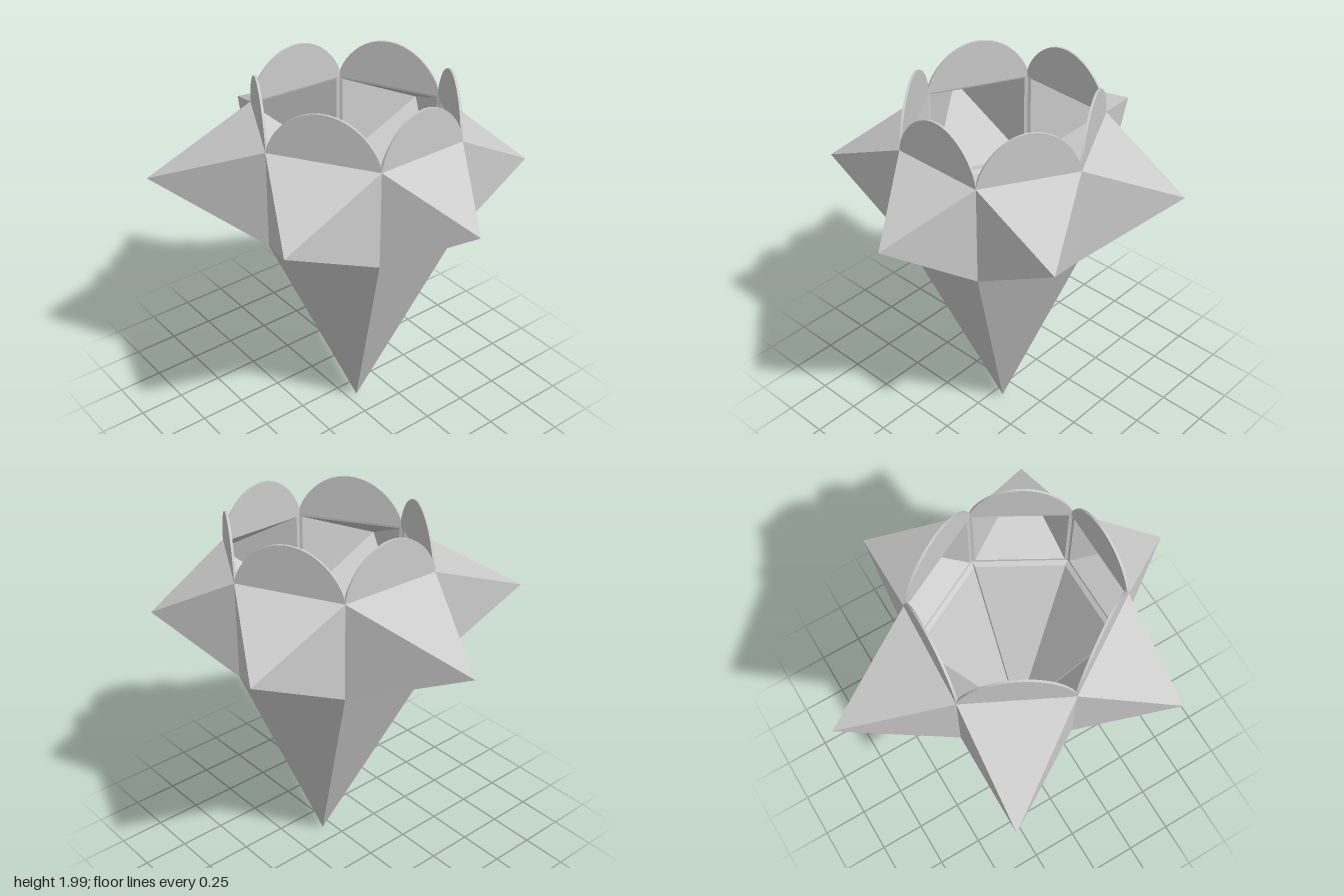
import * as THREE from 'three';

const BASE = 1.235, RIM = 1.755, TOP = 2.0, MID = 1.5;
// Rim corners (x, z), counter-clockwise from above, and the spike tip beyond each side
const corners = [[-0.18, 0.56], [0.32, 0.56], [0.57, 0.12], [0.31, -0.385], [-0.24, -0.415], [-0.49, 0.08]];
const tips = [[0.085, 0.955], [0.785, 0.55], [0.84, -0.35], [0.025, -0.955], [-0.845, -0.455], [-0.725, 0.55]];

export function createModel() {
  const model = new THREE.Group();
  const material = new THREE.MeshStandardMaterial({ color: 0xcccccc, flatShading: true, side: THREE.DoubleSide });
  const at = ([x, z], y) => new THREE.Vector3(x, y, z);

  // Thin triangular panel: outer face, slightly smaller inner face, bevelled edges
  function panel(a, b, c) {
    const outer = [a, b, c];
    const centre = a.clone().add(b).add(c).divideScalar(3);
    const normal = new THREE.Triangle(a, b, c).getNormal(new THREE.Vector3());
    const inner = outer.map(p => p.clone().lerp(centre, 0.06).addScaledVector(normal, -0.014));
    const tris = [...outer, inner[2], inner[1], inner[0]];
    for (let i = 0; i < 3; i++) {
      const j = (i + 1) % 3;
      tris.push(outer[i], inner[i], inner[j], outer[i], inner[j], outer[j]);
    }
    const geometry = new THREE.BufferGeometry().setFromPoints(tris);
    geometry.computeVertexNormals();
    return new THREE.Mesh(geometry, material);
  }

  function add(parent, mesh, name) {
    mesh.name = name;
    parent.add(mesh);
  }

  const cone = new THREE.Group();
  cone.name = 'lowerCone';
  model.add(cone);
  const point = new THREE.Vector3(0.055, 0.01, 0.105);

  corners.forEach((corner, i) => {
    const next = corners[(i + 1) % corners.length];
    const a0 = at(corner, BASE), b0 = at(next, BASE);
    const a1 = at(corner, RIM), b1 = at(next, RIM);
    const tip = at(tips[i], MID);

    // Lower cone face
    add(cone, panel(point, b0, a0), 'coneFace');

    // Hollow four-sided spike, open towards the inside
    const spike = new THREE.Group();
    spike.name = 'sideSpike';
    [[a0, b0], [b0, b1], [b1, a1], [a1, a0]].forEach(([p, q]) => add(spike, panel(p, q, tip), 'spikeFace'));
    model.add(spike);

    // Rounded flap standing on the rim
    const half = a1.distanceTo(b1) / 2;
    const arch = new THREE.Shape();
    arch.moveTo(half, 0);
    for (let k = 1; k <= 32; k++) {
      const t = k / 32 * Math.PI;
      arch.lineTo(half * Math.cos(t), (TOP - RIM) * Math.pow(Math.max(0, Math.sin(t)), 1.3));
    }
    const flapGeometry = new THREE.ExtrudeGeometry(arch, { depth: 0.012, bevelEnabled: false });
    flapGeometry.translate(0, 0, -0.012);
    const flap = new THREE.Mesh(flapGeometry, material);
    flap.position.copy(a1).lerp(b1, 0.5);
    flap.rotation.y = Math.atan2(a1.z - b1.z, b1.x - a1.x);
    add(model, flap, 'rimFlap');
  });

  return model;
}
